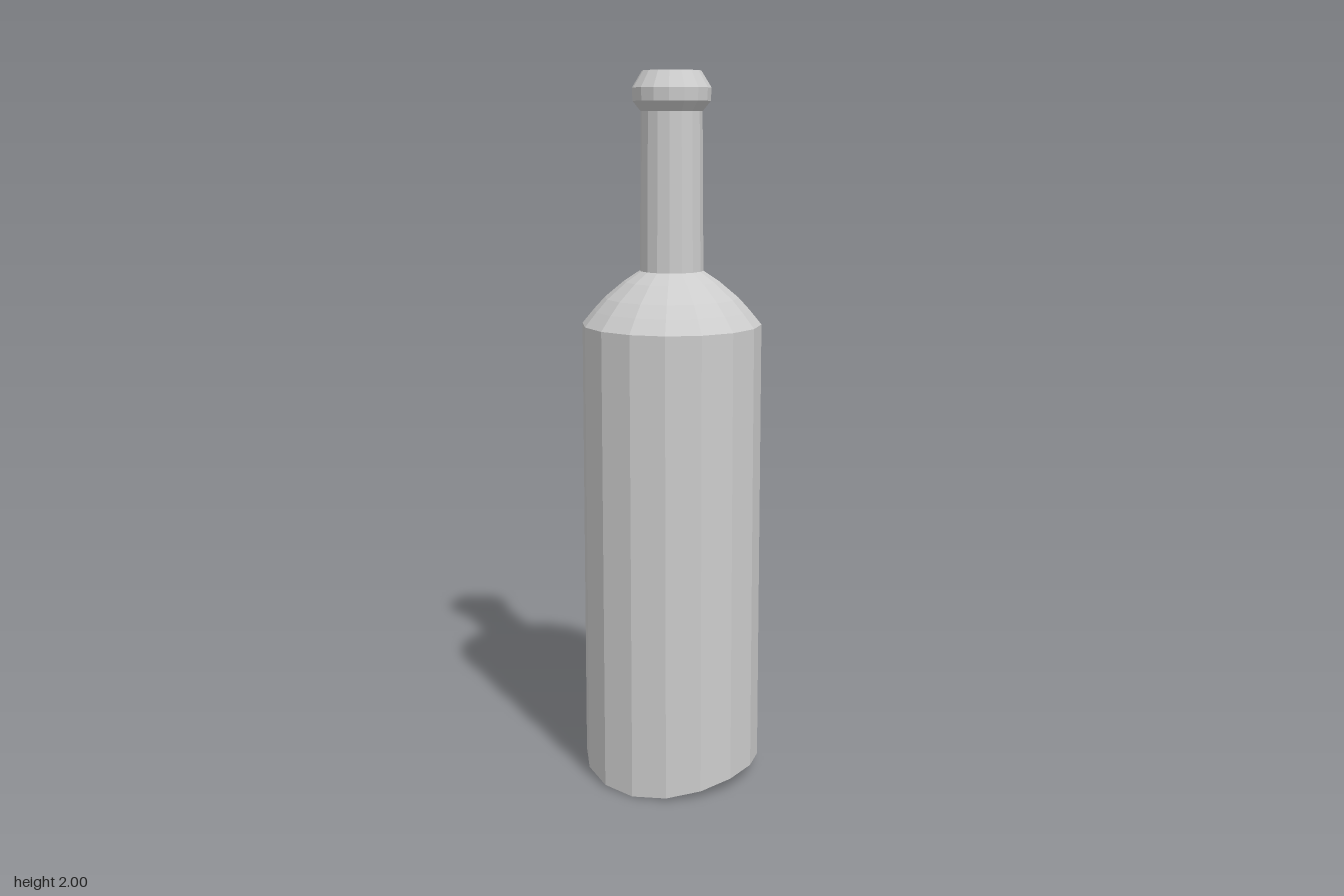
import * as THREE from 'three';

const SIDES = 16;
const RADIUS = 0.25;

// Point on the scooped base rim: low along x = 0, lifted towards both sides.
function rimPoint(i) {
  const a = (i / SIDES) * Math.PI * 2;
  const s = Math.sin(a);
  return [s * RADIUS * 1.015, 0.045 * s * s, Math.cos(a) * RADIUS];
}

function lathe(profile) {
  return new THREE.LatheGeometry(profile.map(([r, y]) => new THREE.Vector2(r, y)), SIDES);
}

export function createModel() {
  const bottle = new THREE.Group();
  bottle.name = 'bottle';
  const glass = new THREE.MeshStandardMaterial({ color: 0xcccccc, flatShading: true });
  glass.name = 'grey glass';

  const add = (name, geometry) => {
    const mesh = new THREE.Mesh(geometry, glass);
    mesh.name = name;
    bottle.add(mesh);
  };

  // Body: straight wall whose lower ring follows the scooped rim
  const body = lathe([[RADIUS, 0], [RADIUS, 1.315]]);
  const pos = body.attributes.position;
  for (let i = 0; i <= SIDES; i++) pos.setXYZ(i * 2, ...rimPoint(i));
  add('body', body);

  // Base: strips joining front and back rim points of equal x
  const corners = [];
  const quarter = SIDES / 4;
  for (let i = -quarter; i < quarter; i++) {
    const [a, b] = [rimPoint(i), rimPoint(i + 1)];
    const [c, d] = [rimPoint(SIDES / 2 - i), rimPoint(SIDES / 2 - i - 1)];
    if (i > -quarter) corners.push(...a, ...c, ...d);
    if (i < quarter - 1) corners.push(...a, ...d, ...b);
  }
  const base = new THREE.BufferGeometry();
  base.setAttribute('position', new THREE.Float32BufferAttribute(corners, 3));
  base.computeVertexNormals();
  add('base', base);

  // Rounded shoulder, narrow neck, and bevelled lip with closed top
  add('shoulder', lathe([[RADIUS, 1.315], [0.217, 1.355], [0.186, 1.389], [0.132, 1.434], [0.088, 1.463]]));
  add('neck', lathe([[0.088, 1.463], [0.084, 1.893]]));
  add('lip', lathe([[0.084, 1.893], [0.106, 1.92], [0.108, 1.955], [0.08, 2], [0, 2]]));

  return bottle;
}
